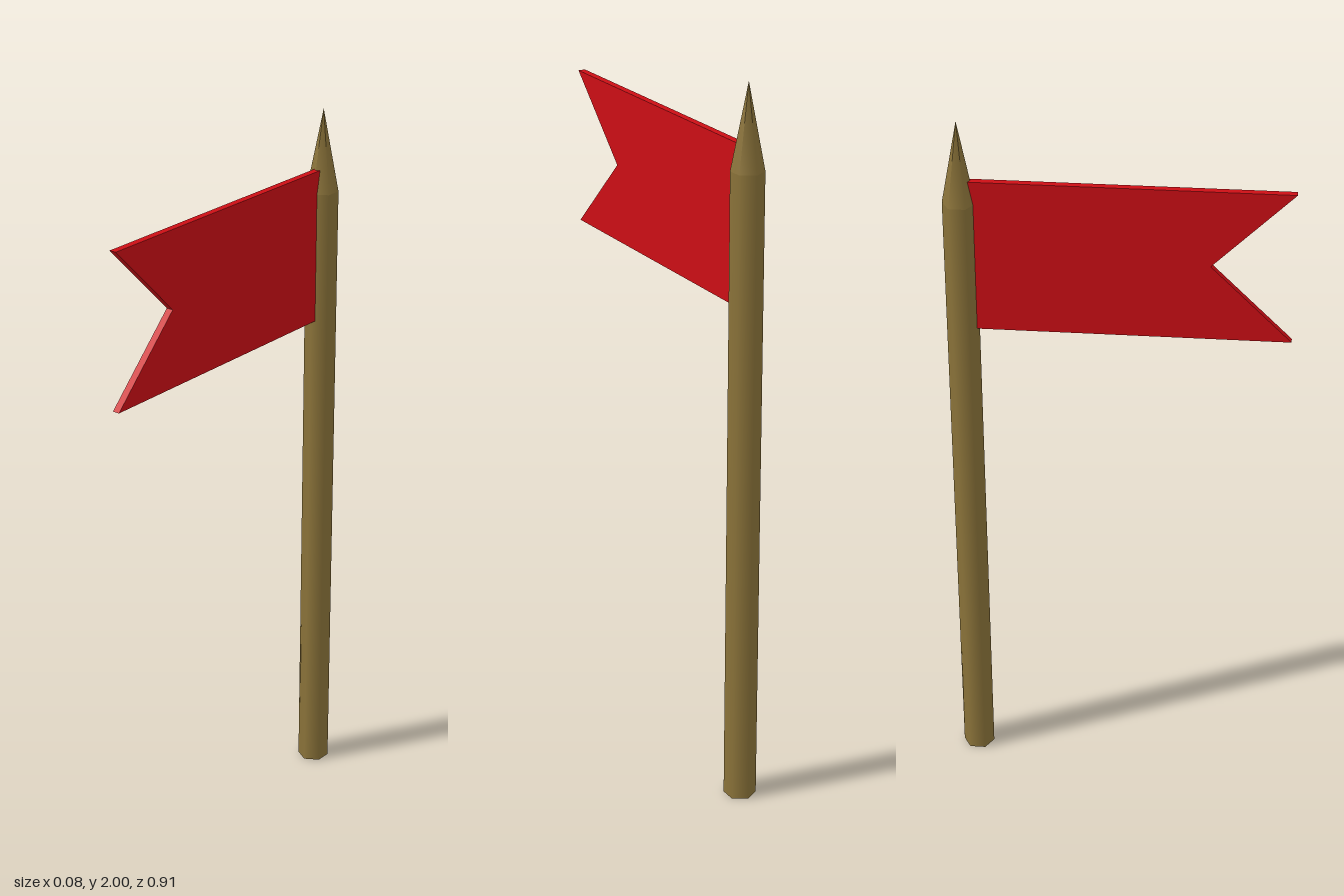
import * as THREE from 'three';

const POLE_Z = -0.413, RADIUS = 0.044, SHOULDER = 1.77, TOP = 2, SIDES = 6;

function addMesh(group, name, geometry, material) {
  const mesh = new THREE.Mesh(geometry, material);
  mesh.name = name;
  group.add(mesh);
  return mesh;
}

export function createModel() {
  const model = new THREE.Group();
  model.name = 'pennantOnPole';
  const wood = new THREE.MeshStandardMaterial({ color: 0x8c743a });
  const cloth = new THREE.MeshStandardMaterial({ color: 0xcc0e15 });

  // Six-sided pole with smooth sides
  const pole = addMesh(model, 'pole', new THREE.CylinderGeometry(RADIUS, RADIUS, SHOULDER, SIDES), wood);
  pole.position.set(0, SHOULDER / 2, POLE_Z);

  // Sharpened tip
  const tipHeight = TOP - SHOULDER;
  const tip = addMesh(model, 'poleTip', new THREE.ConeGeometry(RADIUS, tipHeight, SIDES, 1, true), wood);
  tip.position.set(0, SHOULDER + tipHeight / 2, POLE_Z);

  // Swallow-tailed flag, drawn in the z-y plane and set slightly into the pole
  const thickness = 0.02;
  const outline = new THREE.Shape([
    [-0.39, 1.405], [0.457, 1.405], [0.24, 1.62], [0.457, 1.835], [-0.39, 1.835],
  ].map(([z, y]) => new THREE.Vector2(z, y)));
  const flag = new THREE.ExtrudeGeometry(outline, { depth: thickness, bevelEnabled: false });
  flag.rotateY(-Math.PI / 2).translate(thickness / 2, 0, 0);
  addMesh(model, 'flag', flag, cloth);

  return model;
}
